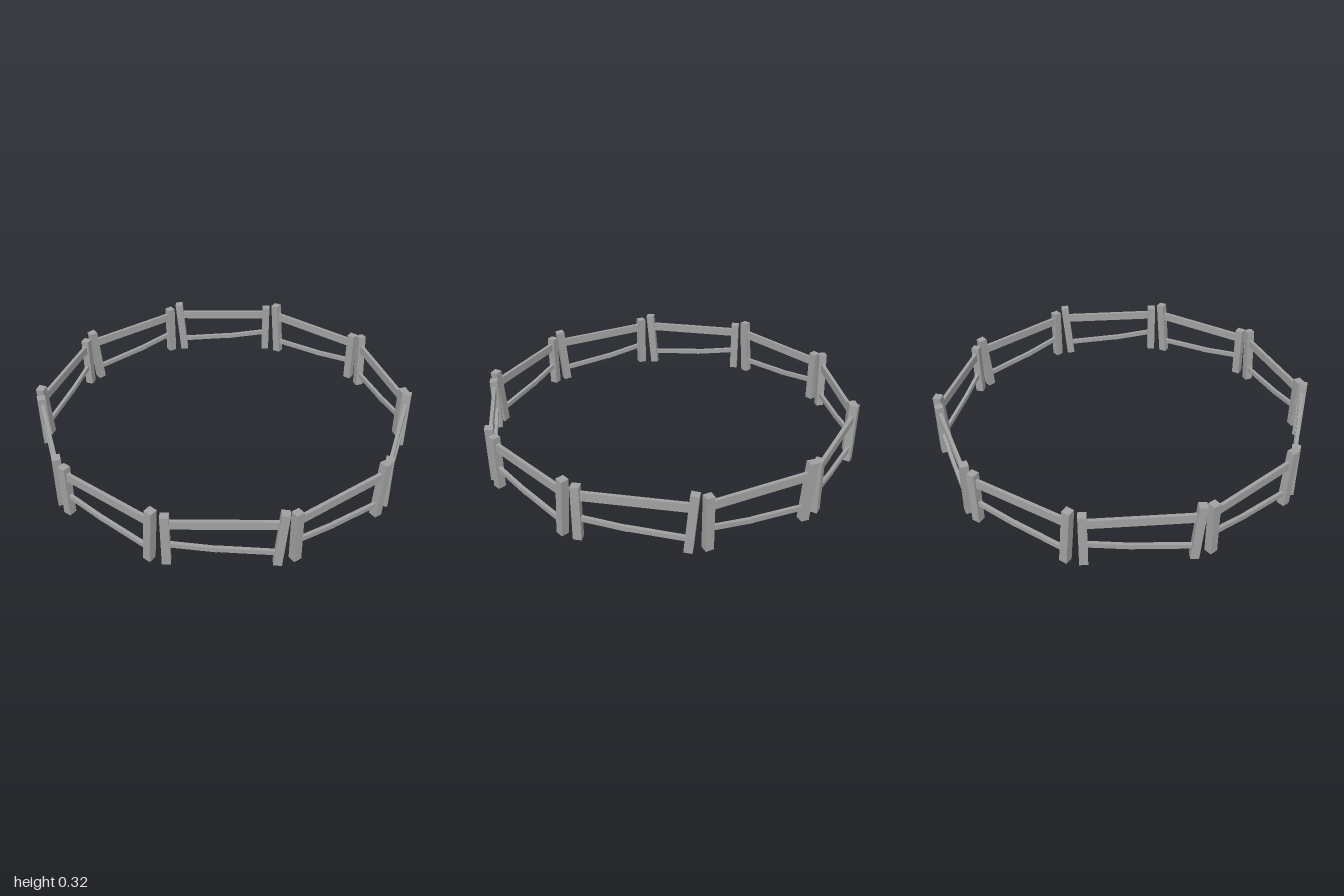
import * as THREE from 'three';

const PANELS = 10;
const APOTHEM = 0.931;

const wood = new THREE.MeshStandardMaterial({ color: 0xa0a0a0 });
wood.name = 'weathered grey';

// Square-cut beam between two points given as [z, y] in the panel's own plane
function beam(name, [z0, y0], [z1, y1], thickness, depth) {
  const length = Math.hypot(z1 - z0, y1 - y0);
  const mesh = new THREE.Mesh(new THREE.BoxGeometry(thickness, depth, length), wood);
  mesh.name = name;
  mesh.position.set(0, (y0 + y1) / 2, (z0 + z1) / 2);
  mesh.rotation.x = -Math.atan2(y1 - y0, z1 - z0);
  return mesh;
}

function createPanel() {
  const panel = new THREE.Group();
  panel.name = 'fencePanel';
  panel.add(
    // One upright post and one taller post leaning outward
    beam('straightPost', [0.257, 0.006], [0.257, 0.296], 0.042, 0.042),
    beam('leaningPost', [-0.256, 0.002], [-0.283, 0.316], 0.042, 0.042),
    // Level top rail
    beam('topRail', [-0.262, 0.242], [0.25, 0.242], 0.018, 0.046),
    // Cracked lower rail in two slightly misaligned halves
    beam('lowerRailHigh', [0.25, 0.119], [0.02, 0.087], 0.018, 0.025),
    beam('lowerRailLow', [0.03, 0.09], [-0.255, 0.07], 0.018, 0.025),
  );
  return panel;
}

export function createModel() {
  const model = new THREE.Group();
  model.name = 'ringFence';
  // Ten identical panels around the ring
  for (let i = 0; i < PANELS; i++) {
    const angle = (i / PANELS) * Math.PI * 2;
    const panel = createPanel();
    panel.rotation.y = angle;
    panel.position.set(Math.cos(angle) * APOTHEM, 0, -Math.sin(angle) * APOTHEM);
    model.add(panel);
  }
  return model;
}
